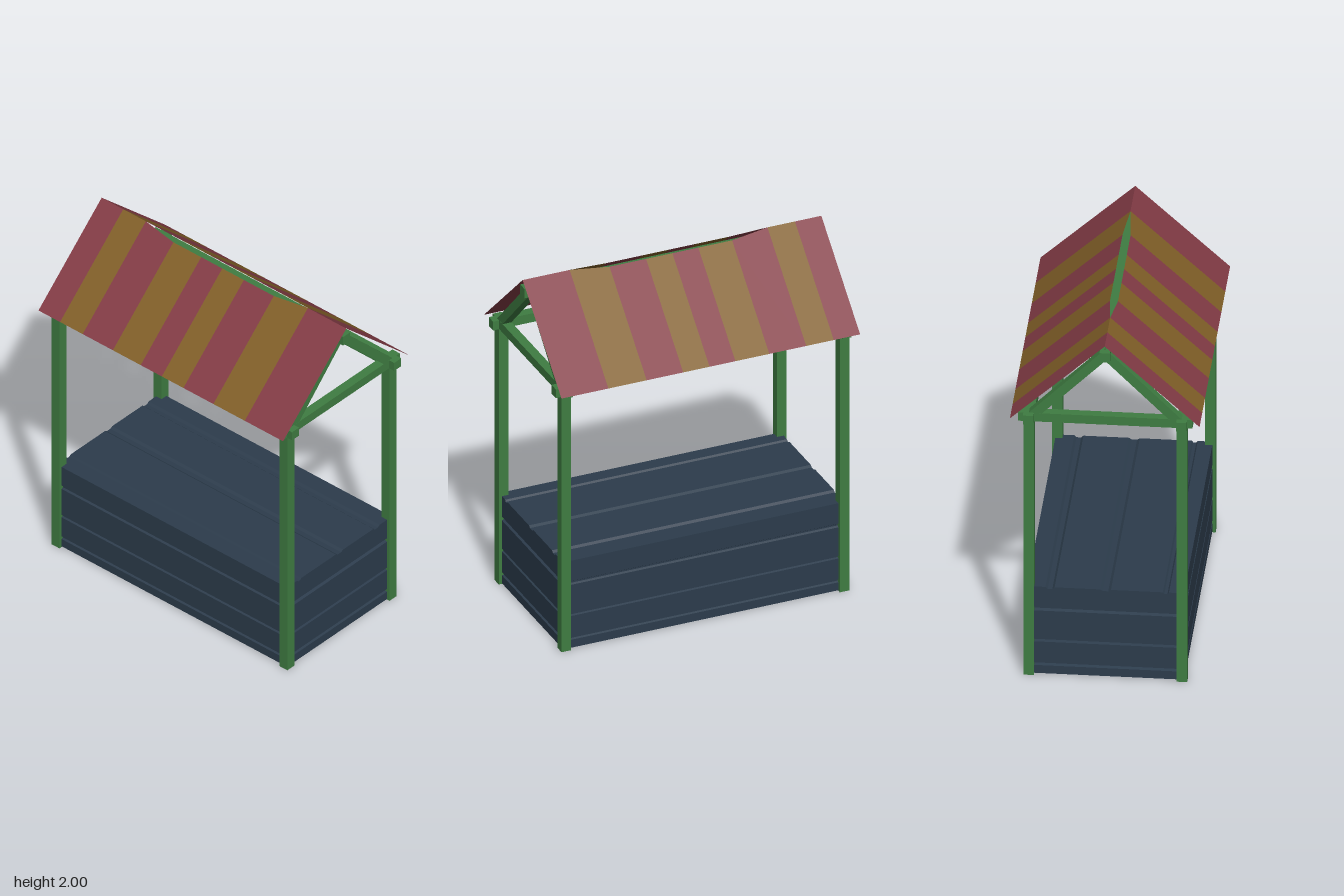
import * as THREE from 'three';

const paint = (color, side = THREE.FrontSide) => {
  const m = new THREE.MeshStandardMaterial({ color, side });
  m.flatShading = true;
  return m;
};

// Extrude an xy outline along z, centred on z = 0
function extrudeZ(points, depth) {
  const shape = new THREE.Shape(points.map(([x, y]) => new THREE.Vector2(x, y)));
  return new THREE.ExtrudeGeometry(shape, { depth, bevelEnabled: false }).translate(0, 0, -depth / 2);
}

// Stack rectangular rings [y, halfX, halfZ] into a closed body
function ringBody(rings) {
  const pos = [], idx = [];
  for (const [y, hx, hz] of rings) {
    for (const [sx, sz] of [[1, 1], [1, -1], [-1, -1], [-1, 1]]) pos.push(sx * hx, y, sz * hz);
  }
  for (let r = 0; r < rings.length - 1; r++) {
    for (let i = 0; i < 4; i++) {
      const a = r * 4 + i, b = r * 4 + (i + 1) % 4;
      idx.push(a, b, b + 4, a, b + 4, a + 4);
    }
  }
  const t = (rings.length - 1) * 4;
  idx.push(0, 2, 1, 0, 3, 2, t, t + 1, t + 2, t, t + 2, t + 3);
  const g = new THREE.BufferGeometry();
  g.setAttribute('position', new THREE.Float32BufferAttribute(pos, 3));
  g.setIndex(idx);
  const flat = g.toNonIndexed();
  flat.computeVertexNormals();
  return flat;
}

export function createModel() {
  const root = new THREE.Group();
  root.name = 'marketStall';
  const green = paint(0x3f7d42);
  const slate = paint(0x2c3c4c);
  const red = paint(0x843c46, THREE.DoubleSide);
  const gold = paint(0x826028, THREE.DoubleSide);

  const add = (name, geo, mat, x = 0, y = 0, z = 0) => {
    const mesh = new THREE.Mesh(geo, mat);
    mesh.name = name;
    mesh.position.set(x, y, z);
    root.add(mesh);
    return mesh;
  };

  // Timber frame: posts, beams, rafters
  const T = 0.055, PX = 0.4, PZ = 0.792;
  for (const sx of [1, -1]) {
    for (const sz of [1, -1]) {
      add('post', new THREE.BoxGeometry(T, 1.55, T), green, sx * PX, 0.775, sz * PZ);
      const outline = [[0.405, 1.56], [0.03, 1.935], [0, 1.965], [0, 1.895], [0.335, 1.56]]
        .map(([x, y]) => [sx * x, y]);
      add('rafter', extrudeZ(outline, 0.05), green, 0, 0, sz * PZ);
    }
    add('sideBeam', new THREE.BoxGeometry(T, 0.052, 1.704), green, sx * PX, 1.54, 0);
    add('crossBeam', new THREE.BoxGeometry(0.91, 0.05, T - 0.004), green, 0, 1.54, sx * PZ);
  }
  add('ridgeBeam', new THREE.BoxGeometry(T, T, 1.704), green, 0, 1.933, 0);

  // Counter body with horizontal plank grooves
  const HX = 0.41, HZ = 0.802;
  const rings = [[0.004, HX, HZ]];
  for (const [y, h] of [[0.06, 0.009], [0.2, 0.008], [0.388, 0.011]]) {
    rings.push([y - h, HX, HZ], [y - h * 0.4, HX - 0.01, HZ - 0.018],
      [y + h * 0.4, HX - 0.01, HZ - 0.018], [y + h, HX, HZ]);
  }
  rings.push([0.45, HX, HZ]);
  add('counterBody', ringBody(rings), slate);

  // Counter top with grooves between the boards
  const top = [[-HX, 0.45], [HX, 0.45], [HX, 0.52]];
  for (const [x, w, d] of [[0.29, 0.024, 0.011], [0, 0.028, 0.009], [-0.315, 0.016, 0.009]]) {
    top.push([x + w, 0.52], [x + w / 2, 0.52 - d], [x - w / 2, 0.52 - d], [x - w, 0.52]);
  }
  top.push([-HX, 0.52]);
  add('counterTop', extrudeZ(top, HZ * 2), slate);

  // Striped awning; the sheets part along the middle of the ridge
  const cuts = [0.85, 0.583, 0.365, 0.157, 0.007, -0.14, -0.333, -0.543, -0.7, -0.85];
  const gap = (z) => (z < 0.4 && z > -0.4 ? 0.021 : 0);
  for (const s of [1, -1]) {
    for (let i = 0; i < cuts.length - 1; i++) {
      const corners = [cuts[i], cuts[i + 1]].flatMap((z) => [
        s * gap(z), 2 - gap(z) * 0.92, z,
        s * 0.495, 1.545, z,
      ]);
      const g = new THREE.BufferGeometry();
      g.setAttribute('position', new THREE.Float32BufferAttribute(corners, 3));
      g.setIndex(s > 0 ? [0, 1, 3, 0, 3, 2] : [0, 3, 1, 0, 2, 3]);
      g.computeVertexNormals();
      add(i % 2 ? 'goldStripe' : 'redStripe', g, i % 2 ? gold : red);
    }
  }
  return root;
}
